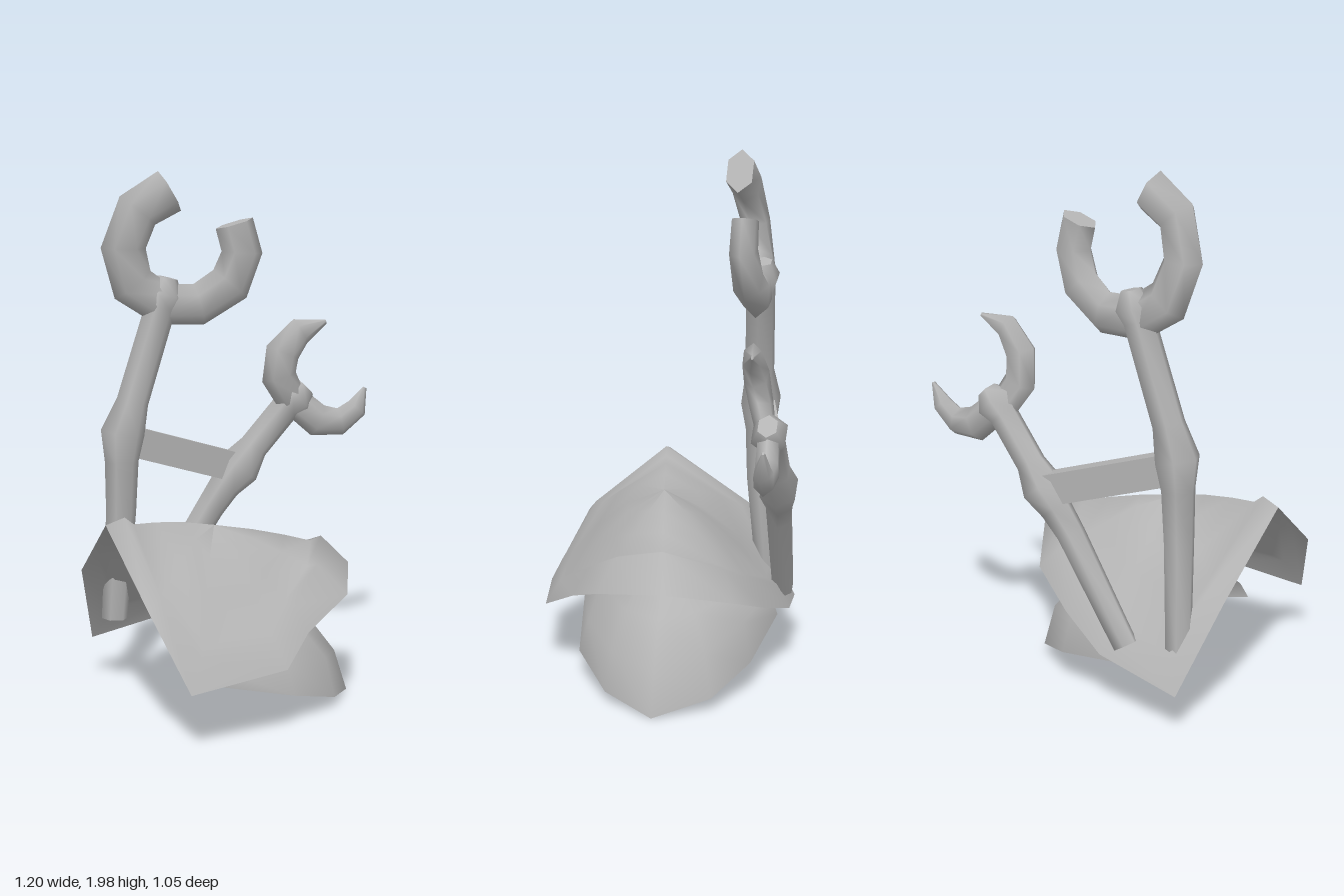
import * as THREE from 'three';

const grey = new THREE.MeshStandardMaterial({ color: 0xb4b4b4 });
grey.name = 'plain grey';
const greySheet = new THREE.MeshStandardMaterial({ color: 0xb4b4b4, side: THREE.DoubleSide });
greySheet.name = 'plain grey sheet';

// Joins equal-length rings of [x, y, z] points into one smooth surface.
function loft(rings, closed) {
  const n = rings[0].length, index = [];
  for (let i = 0; i < rings.length - 1; i++) {
    for (let j = 0; j < (closed ? n : n - 1); j++) {
      const k = (j + 1) % n;
      const a = i * n + j, b = i * n + k, c = a + n, d = b + n;
      index.push(a, b, c, b, d, c);
    }
  }
  const g = new THREE.BufferGeometry();
  g.setAttribute('position', new THREE.Float32BufferAttribute(rings.flat(2), 3));
  g.setIndex(index);
  g.computeVertexNormals();
  return g;
}

function add(group, name, geometry, material = grey) {
  const mesh = new THREE.Mesh(geometry, material);
  mesh.name = name;
  group.add(mesh);
  return mesh;
}

// Limb with varying radius; stations are [x, y, z, radius], depth flattens it in z.
function limb(stations, depth = 1, sides = 6) {
  const rings = stations.map(([x, y, z, r], i) => {
    const p = stations[Math.max(i - 1, 0)], q = stations[Math.min(i + 1, stations.length - 1)];
    const len = Math.hypot(q[0] - p[0], q[1] - p[1]);
    const nx = -(q[1] - p[1]) / len, ny = (q[0] - p[0]) / len;
    return Array.from({ length: sides }, (_, j) => {
      const t = (j / sides) * Math.PI * 2, c = Math.cos(t) * r;
      return [x + nx * c, y + ny * c, z + Math.sin(t) * r * depth];
    });
  });
  // flat end caps on their own vertices
  const cap = (ring, s, flip) => {
    const mid = ring.map(() => s.slice(0, 3));
    return flip ? loft([mid, ring], true) : loft([ring, mid], true);
  };
  return [
    loft(rings, true),
    cap(rings[0], stations[0], true),
    cap(rings.at(-1), stations.at(-1), false),
  ];
}

function addLimb(group, name, stations, depth) {
  const part = new THREE.Group();
  part.name = name;
  limb(stations, depth).forEach((g, i) => add(part, ['body', 'startCap', 'endCap'][i], g));
  group.add(part);
}

export function createModel() {
  const model = new THREE.Group();
  model.name = 'shellWithHooks';

  // Upper shell: outer lip, raised ridge, then an arched plate
  const lip = [
    [-0.53, 0.18, -0.43], [-0.6, 0.5, -0.25], [-0.57, 0.75, 0.09], [-0.48, 0.5, 0.4],
    [-0.36, 0.23, 0.53], [0.01, 0.27, 0.45], [0.13, 0.36, 0.31], [0.32, 0.45, 0.17],
    [0.41, 0.5, -0.1], [0.23, 0.42, -0.32], [0.02, 0.33, -0.4], [-0.2, 0.25, -0.46],
  ];
  const ridge = [
    [-0.46, 0.3, -0.38], [-0.54, 0.55, -0.24], [-0.5, 0.775, 0.09], [-0.43, 0.55, 0.36],
    [-0.31, 0.34, 0.47], [-0.02, 0.36, 0.4], [0.08, 0.45, 0.27], [0.22, 0.56, 0.12],
    [0.29, 0.62, -0.07], [0.15, 0.52, -0.27], [-0.02, 0.42, -0.35], [-0.2, 0.34, -0.41],
  ];
  const crown = [-0.15, 0.71, 0.02];
  const plateRing = (t) => ridge.map((p) => {
    const q = p.map((v, i) => v + (crown[i] - v) * t);
    q[1] += 0.55 * t * (1 - t) * Math.abs(p[2]) - 0.03 * (1 - t);
    return q;
  });
  const plate = [0.1, 0.35, 0.65, 1].map(plateRing);
  add(model, 'upperShell', loft([lip, ridge, ...plate], true), greySheet);

  // Lower shell: an open tongue tucked under the upper one
  add(model, 'lowerShell', loft([
    [[-0.23, 0.2, 0.36], [0.08, 0.12, 0.3], [0.28, 0.05, 0.15], [0.39, 0.01, -0.05],
      [0.28, 0.06, -0.25], [0.08, 0.13, -0.36], [-0.23, 0.21, -0.41]],
    [[-0.2, 0.25, 0.35], [0.06, 0.235, 0.27], [0.25, 0.2, 0.13], [0.34, 0.17, -0.05],
      [0.25, 0.22, -0.22], [0.06, 0.28, -0.33], [-0.2, 0.32, -0.38]],
    [[-0.2, 0.31, 0.28], [0.0, 0.33, 0.2], [0.15, 0.33, 0.1], [0.22, 0.33, -0.04],
      [0.15, 0.34, -0.16], [0.0, 0.35, -0.25], [-0.2, 0.35, -0.31]],
    [[-0.22, 0.42, 0.15], [-0.1, 0.44, 0.1], [0.0, 0.45, 0.05], [0.04, 0.45, -0.03],
      [0.0, 0.45, -0.1], [-0.1, 0.43, -0.16], [-0.22, 0.4, -0.2]],
  ], false), greySheet);

  // Tall post with its knuckle and open hook
  addLimb(model, 'tallPost', [
    [-0.46, 0.28, -0.33, 0.05], [-0.435, 0.7, -0.3, 0.058], [-0.43, 0.9, -0.3, 0.065],
    [-0.425, 1.01, -0.3, 0.085], [-0.385, 1.13, -0.3, 0.062], [-0.27, 1.48, -0.32, 0.06],
    [-0.255, 1.53, -0.325, 0.075], [-0.24, 1.59, -0.33, 0.04],
  ], 0.95);
  addLimb(model, 'tallHook', [
    [-0.25, 1.92, -0.24, 0.085], [-0.37, 1.85, -0.245, 0.085], [-0.42, 1.71, -0.27, 0.085],
    [-0.38, 1.57, -0.3, 0.085], [-0.26, 1.49, -0.32, 0.08], [-0.12, 1.485, -0.33, 0.08],
    [0.0, 1.56, -0.32, 0.085], [0.045, 1.68, -0.31, 0.08], [0.015, 1.79, -0.31, 0.075],
  ], 0.65);

  // Short leaning post with its knuckle and two pointed claws
  addLimb(model, 'shortPost', [
    [-0.29, 0.3, -0.42, 0.05], [-0.05, 0.67, -0.44, 0.058], [0.01, 0.75, -0.45, 0.065],
    [0.07, 0.82, -0.455, 0.088], [0.13, 0.9, -0.455, 0.06], [0.26, 1.05, -0.455, 0.06],
    [0.3, 1.09, -0.455, 0.082], [0.34, 1.13, -0.455, 0.045],
  ], 0.85);
  addLimb(model, 'upperClaw', [
    [0.41, 1.39, -0.41, 0.008], [0.3, 1.36, -0.39, 0.055], [0.23, 1.28, -0.395, 0.07],
    [0.22, 1.18, -0.41, 0.07], [0.28, 1.08, -0.44, 0.06],
  ], 0.65);
  addLimb(model, 'lowerClaw', [
    [0.3, 1.07, -0.455, 0.06], [0.395, 0.99, -0.465, 0.065], [0.49, 0.98, -0.47, 0.055],
    [0.56, 1.03, -0.475, 0.045], [0.597, 1.11, -0.485, 0.008],
  ], 0.7);

  // Flat strap tying the two posts together
  const from = new THREE.Vector3(-0.41, 0.98, -0.32), to = new THREE.Vector3(0.06, 0.82, -0.46);
  const along = to.clone().sub(from);
  const strap = add(model, 'crossStrap', new THREE.BoxGeometry(along.length(), 0.115, 0.06));
  strap.position.copy(from).add(to).multiplyScalar(0.5);
  strap.rotation.set(0, Math.atan2(-along.z, along.x), Math.atan2(along.y, Math.hypot(along.x, along.z)), 'YXZ');

  return model;
}
